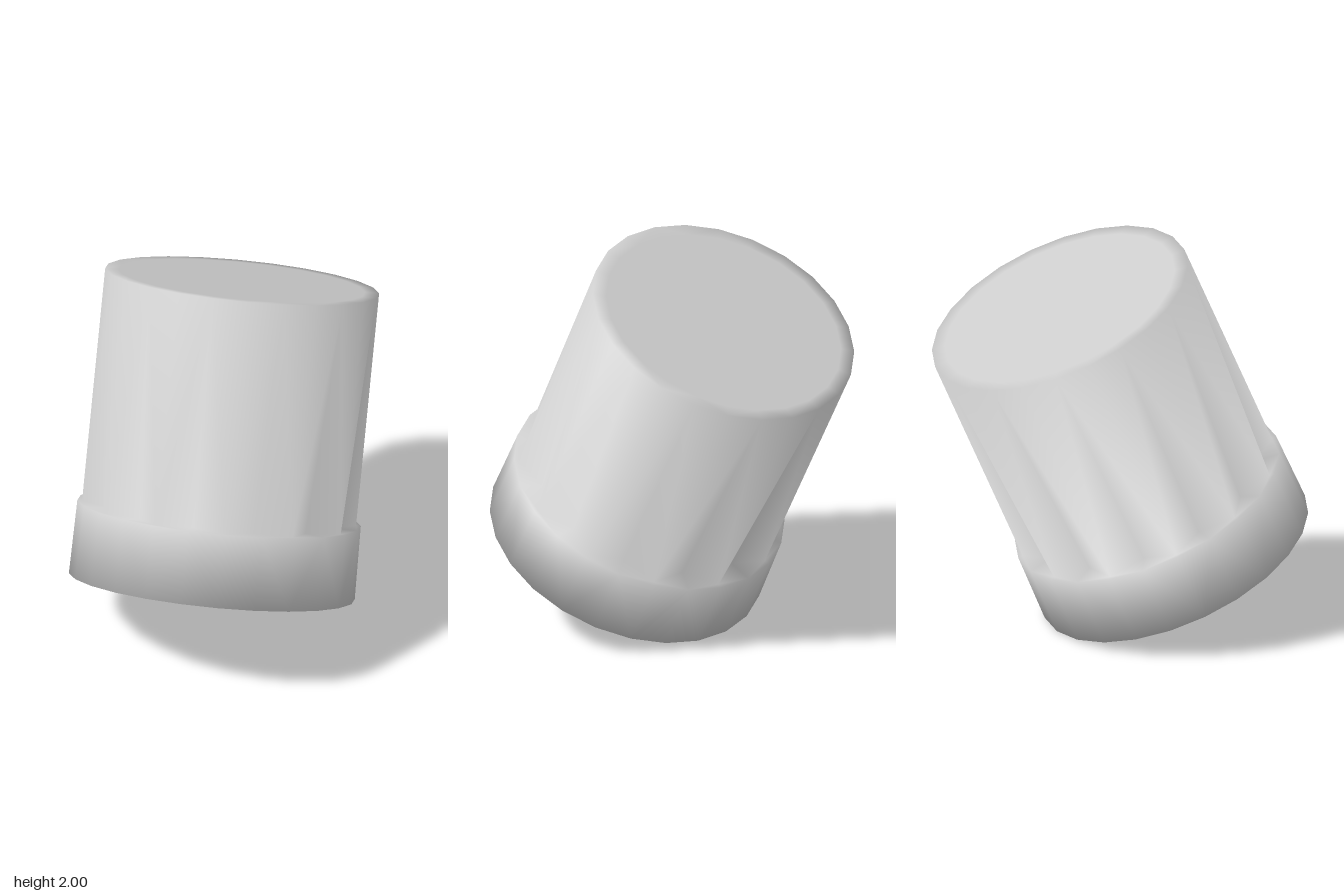
import * as THREE from 'three';

const SIDES = 24;
const TILT = -0.425;

// Rings along the axis: radius, height; the fluted ring dips to 'valley' at every even point
const RINGS = [
  { r: 0, y: 0 },
  { r: 0.72, y: 0 },
  { r: 0.714, y: 0.371 },
  { r: 0.69, y: 0.371, valley: 0.59 },
  { r: 0.69, y: 1.553 },
  { r: 0.62, y: 1.553 },
  { r: 0, y: 1.553 },
];
const LAST = RINGS.length - 1;

function ringPositions() {
  const positions = [];
  for (const { r, y, valley } of RINGS) {
    for (let i = 0; i < SIDES; i++) {
      const a = (i / SIDES) * Math.PI * 2;
      const radius = valley && i % 2 === 0 ? valley : r;
      positions.push(radius * Math.sin(a), y, radius * Math.cos(a));
    }
  }
  return positions;
}

// Skin between neighbouring rings, with diagonals fanning out from the flute ridges
function bandIndices(first, last) {
  const indices = [];
  for (let k = first; k < last; k++) {
    for (let i = 0; i < SIDES; i++) {
      const j = (i + 1) % SIDES;
      const a = k * SIDES + i, b = k * SIDES + j;
      const c = a + SIDES, d = b + SIDES;
      const ridgeFirst = (i % 2 === 1) !== Boolean(RINGS[k + 1].valley);
      if (k === 0) indices.push(a, d, c);
      else if (k === LAST - 1) indices.push(a, b, c);
      else if (ridgeFirst) indices.push(a, b, d, a, d, c);
      else indices.push(a, b, c, b, d, c);
    }
  }
  return indices;
}

// Smooth normals, each face weighted by its corner angle so the rims shade evenly
function smoothNormals(geometry) {
  const { position } = geometry.attributes;
  const index = geometry.index.array;
  const point = (v) => new THREE.Vector3().fromBufferAttribute(position, v);
  const sums = Array.from({ length: position.count }, () => new THREE.Vector3());
  for (let f = 0; f < index.length; f += 3) {
    for (let n = 0; n < 3; n++) {
      const v = index[f + n];
      const p = point(v);
      const u = point(index[f + ((n + 1) % 3)]).sub(p);
      const w = point(index[f + ((n + 2) % 3)]).sub(p);
      sums[v].addScaledVector(u.clone().cross(w).normalize(), u.angleTo(w));
    }
  }
  const normals = sums.flatMap((s) => s.normalize().toArray());
  geometry.setAttribute('normal', new THREE.Float32BufferAttribute(normals, 3));
}

export function createModel() {
  const group = new THREE.Group();
  group.name = 'tiltedCap';
  const material = new THREE.MeshStandardMaterial({ color: 0xcccccc });

  // Normals are worked out over the whole skin so the parts blend at their joint
  const skin = new THREE.BufferGeometry();
  skin.setAttribute('position', new THREE.Float32BufferAttribute(ringPositions(), 3));
  skin.setIndex(bandIndices(0, LAST));
  smoothNormals(skin);

  const addPart = (name, first, last) => {
    const geometry = skin.clone();
    geometry.setIndex(bandIndices(first, last));
    const mesh = new THREE.Mesh(geometry, material);
    mesh.name = name;
    group.add(mesh);
  };
  addPart('collar', 0, 3); // closed base, wide band and shoulder
  addPart('flutedBody', 3, LAST); // grip with flutes fading upwards, and flat top

  // Lean the whole cap backwards, resting on the rear edge of its collar
  group.rotation.x = TILT;
  group.position.set(0, 0.297, 0.309);
  return group;
}
